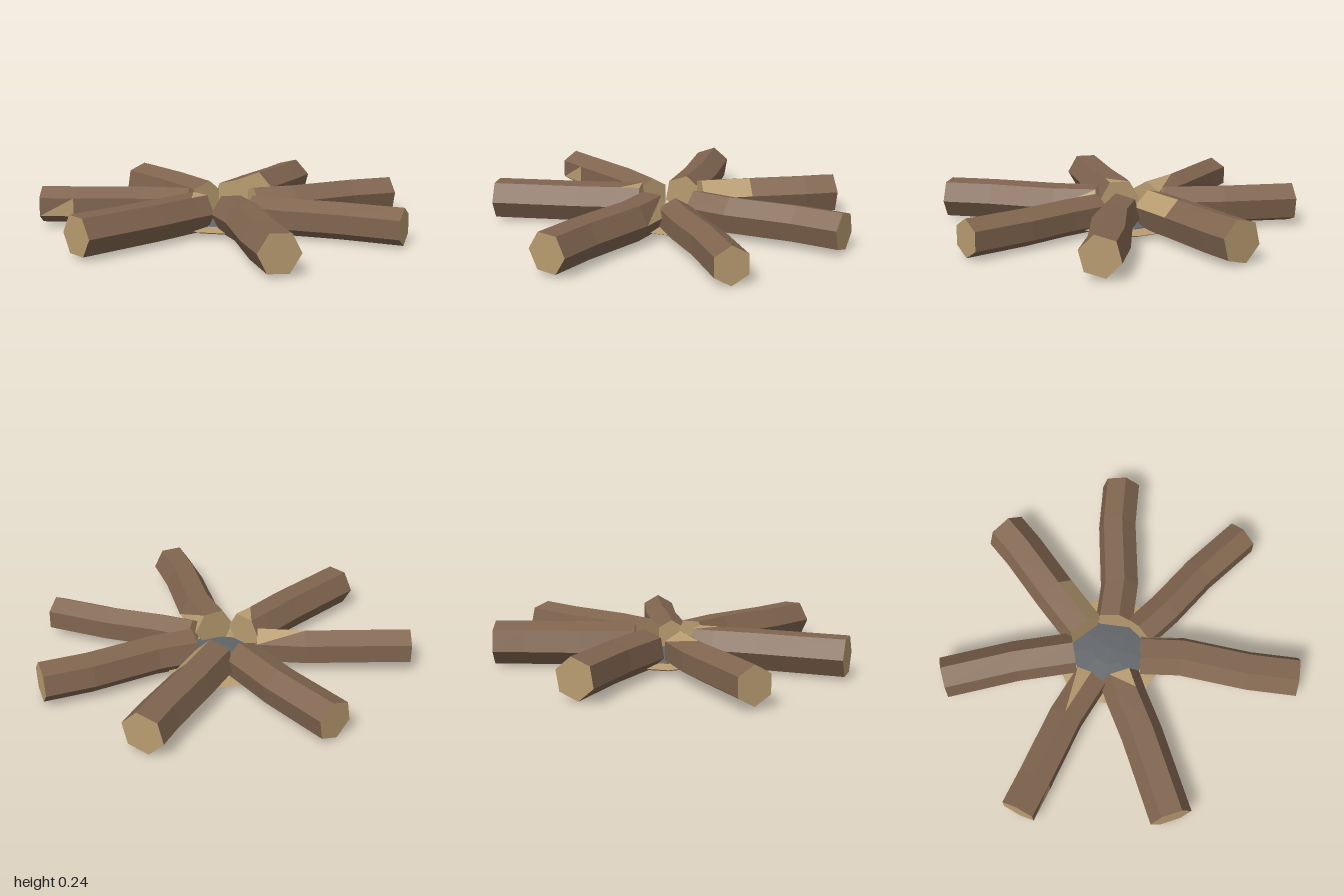
import * as THREE from 'three';

const bark = new THREE.MeshStandardMaterial({ color: 0x80654f });
const wood = new THREE.MeshStandardMaterial({ color: 0xb89c70 });
const ash = new THREE.MeshStandardMaterial({ color: 0x63666a });
for (const m of [bark, wood, ash]) m.flatShading = true;
const SIDES = 6;

function triangles(list, material, name) {
  const geo = new THREE.BufferGeometry().setFromPoints(list);
  geo.computeVertexNormals();
  const mesh = new THREE.Mesh(geo, material);
  mesh.name = name;
  return mesh;
}

// Bent six-sided log along a path of [x, z] points from the hub outwards.
// chips: [segment, face, whole] marks where the bark is stripped away.
function makeLog({ name, path, r, twist, y = 0.13, chips = [] }) {
  const pts = path.map(([x, z]) => new THREE.Vector3(x, y, z));
  const last = pts.length - 1;
  const rings = pts.map((c, i) => {
    const d = pts[Math.min(i + 1, last)].clone().sub(pts[Math.max(i - 1, 0)]).normalize();
    const side = new THREE.Vector3(-d.z, 0, d.x);
    return Array.from({ length: SIDES }, (_, k) => {
      const a = THREE.MathUtils.degToRad(twist + k * 60);
      return c.clone().addScaledVector(side, r * Math.cos(a)).add(new THREE.Vector3(0, r * Math.sin(a), 0));
    });
  });
  const barkTris = [], woodTris = [];
  for (let k = 0; k < SIDES; k++) {
    const n = (k + 1) % SIDES;
    for (let i = 0; i < last; i++) {
      const chip = chips.find(([s, f]) => s === i && f === k);
      const [a, b, c, e] = [rings[i][k], rings[i + 1][k], rings[i + 1][n], rings[i][n]];
      (chip && chip[2] ? woodTris : barkTris).push(a, b, c);
      (chip ? woodTris : barkTris).push(a, c, e);
    }
    // cut ends
    woodTris.push(pts[0], rings[0][k], rings[0][n]);
    woodTris.push(pts[last], rings[last][n], rings[last][k]);
  }
  const log = new THREE.Group();
  log.name = name;
  log.add(triangles(barkTris, bark, 'bark'), triangles(woodTris, wood, 'bareWood'));
  return log;
}

const LOGS = [
  { name: 'backLog', r: 0.12, twist: 15, y: 0.135, chips: [[0, 0, true]],
    path: [[-0.1, -0.2], [-0.115, -0.48], [-0.122, -0.8], [-0.137, -0.975]] },
  { name: 'backLeftLog', r: 0.11, twist: 15,
    path: [[0.07, -0.15], [0.22, -0.32], [0.42, -0.64], [0.585, -0.845]] },
  { name: 'leftLog', r: 0.103, twist: 30, y: 0.115,
    path: [[0.15, -0.02], [0.36, -0.055], [0.64, -0.125], [0.985, -0.178]] },
  { name: 'frontLeftLog', r: 0.114, twist: 3, chips: [[0, 2, false]],
    path: [[0.08, 0.1], [0.265, 0.235], [0.525, 0.51], [0.73, 0.69]] },
  { name: 'frontLog', r: 0.115, twist: 0, chips: [[0, 1, false]],
    path: [[-0.09, 0.14], [-0.12, 0.25], [-0.17, 0.48], [-0.3, 0.945]] },
  { name: 'frontRightLog', r: 0.103, twist: 30, chips: [[0, 0, false], [2, 2, false]],
    path: [[-0.22, 0.06], [-0.46, 0.17], [-0.79, 0.37], [-0.955, 0.465]] },
  { name: 'backRightLog', r: 0.112, twist: 20,
    path: [[-0.22, -0.12], [-0.52, -0.26], [-0.9, -0.4]] },
];

export function createModel() {
  const model = new THREE.Group();
  model.name = 'campfire';
  for (const log of LOGS) model.add(makeLog(log));

  // low sandy ring under the inner log ends
  const profile = [[0.19, 0.03], [0.28, 0.03], [0.32, 0.045], [0.19, 0.06], [0.19, 0.03]]
    .map(([x, y]) => new THREE.Vector2(x, y));
  const ring = new THREE.Mesh(new THREE.LatheGeometry(profile, 9), wood);
  ring.name = 'sandRing';

  // shallow mound of ash filling the ring
  const mound = new THREE.Mesh(new THREE.LatheGeometry(
    [[0, 0.03], [0.23, 0.03], [0.22, 0.062], [0.1, 0.075], [0, 0.08]]
      .map(([x, y]) => new THREE.Vector2(x, y)), 9), ash);
  mound.name = 'ashMound';

  for (const m of [ring, mound]) {
    m.position.set(-0.03, 0, -0.05);
    model.add(m);
  }
  return model;
}
